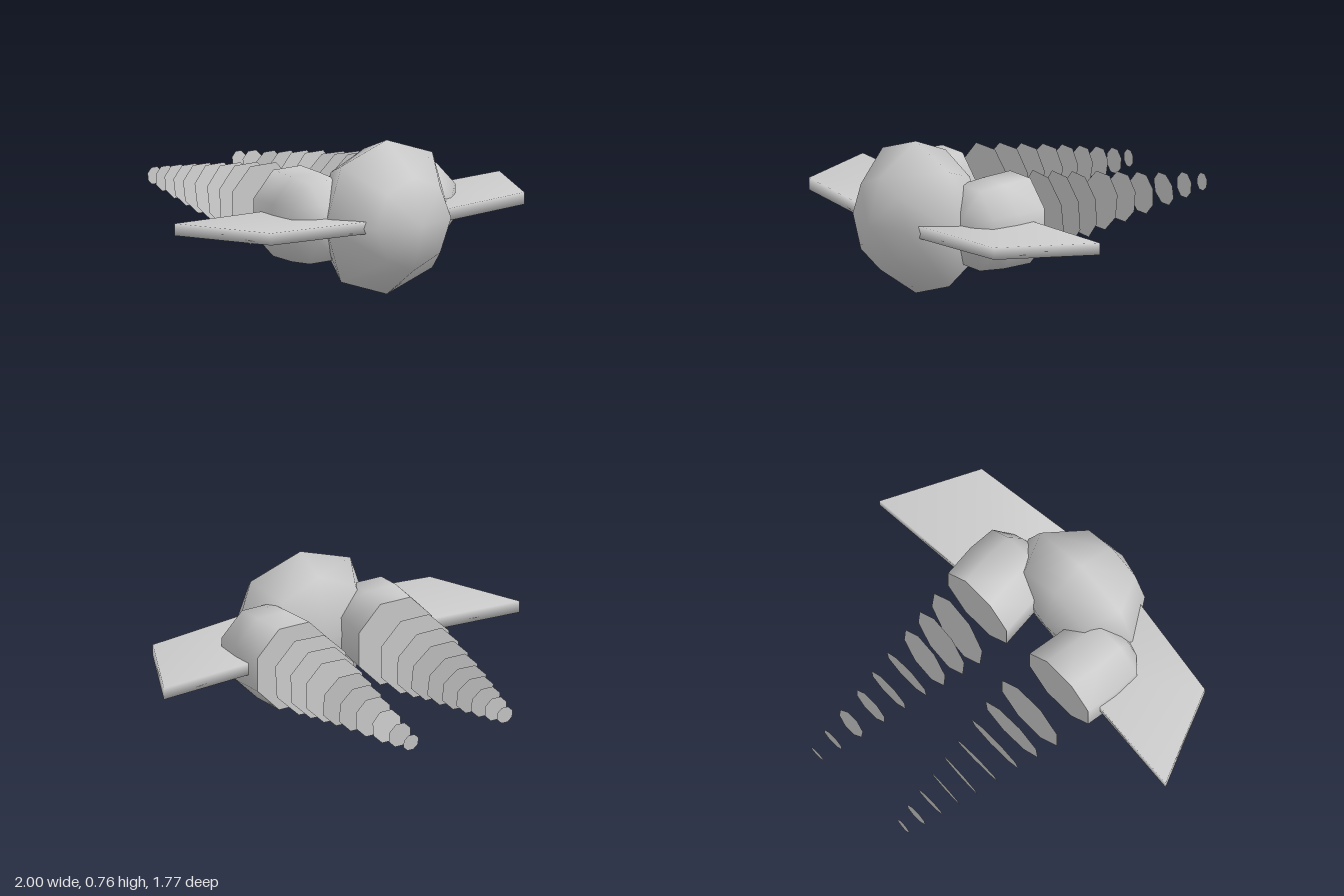
import * as THREE from 'three';
import { mergeVertices } from 'three/addons/utils/BufferGeometryUtils.js';

const grey = new THREE.MeshStandardMaterial({ color: 0xcccccc, side: THREE.DoubleSide });
const MID = 0.385; // height of the centre line
const SIDES = 8;

function mesh(name, geometry) {
  const m = new THREE.Mesh(geometry, grey);
  m.name = name;
  return m;
}

// Skins a list of rings (each the same number of points), front to back
function skin(rings, capped = false) {
  const n = rings[0].length;
  const index = [];
  for (let i = 0; i < rings.length - 1; i++) {
    for (let j = 0; j < n; j++) {
      const a = i * n + j, b = i * n + ((j + 1) % n);
      index.push(a, a + n, b, b, a + n, b + n);
    }
  }
  if (capped) {
    const last = (rings.length - 1) * n;
    for (let j = 1; j < n - 1; j++) {
      index.push(0, j, j + 1, last, last + j + 1, last + j);
    }
  }
  let g = new THREE.BufferGeometry();
  g.setAttribute('position', new THREE.Float32BufferAttribute(rings.flat(2), 3));
  g.setIndex(index);
  g = mergeVertices(g);
  g.computeVertexNormals();
  return g;
}

// Eight-sided ring; diag widens the points that lie between the axes
function ring(z, cx, rx, ry, phase = 0, diag = 1) {
  return Array.from({ length: SIDES }, (_, j) => {
    const a = (j / SIDES) * Math.PI * 2 + phase;
    const k = j % 2 ? diag : 1;
    return [cx + Math.cos(a) * rx * k, MID + Math.sin(a) * ry * k, z];
  });
}

function createBody() {
  return mesh('body', skin([
    ring(0.885, 0, 0, 0),
    ring(0.815, 0, 0.23, 0.23),
    ring(0.605, 0, 0.375, 0.38, 0, 1.06),
    ring(0.43, 0, 0.29, 0.31),
    ring(0.365, 0, 0, 0),
  ]));
}

function createEngine() {
  const engine = new THREE.Group();
  engine.name = 'engine';
  const p = Math.PI / SIDES;
  engine.add(mesh('engineShell', skin([
    ring(0.605, 0.35, 0, 0, p),
    ring(0.57, 0.335, 0.1, 0.1, p),
    ring(0.5, 0.31, 0.212, 0.215, p),
    ring(0.36, 0.305, 0.222, 0.227, p),
    ring(0.19, 0.285, 0.222, 0.23, p),
  ])));
  const cap = mesh('engineBack', new THREE.CircleGeometry(1, SIDES, p));
  cap.scale.set(0.222, 0.23, 1);
  cap.rotation.y = Math.PI;
  cap.position.set(0.285, MID, 0.19);
  engine.add(cap);
  return engine;
}

// Swept wing slab, given by its corners in plan
function createWing() {
  const plan = [[0.25, 0.28], [0.25, 0.765], [0.78, 0.69], [1, 0.22]];
  const layer = (y) => plan.map(([x, z]) => [x, y, z]);
  return mesh('wing', skin([layer(0.42), layer(0.36)], true));
}

// Trail of shrinking, slightly tilted discs: [z, slope in y, slope in x]
function createTrail(name, x, r0, r1, discs) {
  const trail = new THREE.Group();
  trail.name = name;
  const geometry = new THREE.CircleGeometry(1, SIDES, Math.PI / SIDES);
  discs.forEach(([z, slopeY, slopeX], i) => {
    const disc = mesh('exhaustDisc', geometry);
    disc.scale.setScalar(THREE.MathUtils.lerp(r0, r1, i / (discs.length - 1)) * 1.06);
    disc.rotation.set(Math.atan(slopeY), -Math.atan(slopeX), 0);
    disc.position.set(x, MID + 0.005, z);
    trail.add(disc);
  });
  return trail;
}

export function createModel() {
  const model = new THREE.Group();
  model.name = 'spacecraft';
  model.add(createBody());

  // Engine and wing, mirrored to both sides
  for (const side of [1, -1]) {
    const half = new THREE.Group();
    half.name = side > 0 ? 'leftSide' : 'rightSide';
    half.add(createEngine(), createWing());
    half.scale.x = side;
    model.add(half);
  }

  // The two trails are staggered
  model.add(createTrail('leftExhaust', 0.275, 0.193, 0.042, [
    [0.045, 0.1, 0.1], [-0.06, 0.07, 0.08], [-0.17, 0.07, 0.08],
    [-0.29, -0.1, 0], [-0.41, -0.08, 0], [-0.53, 0, 0],
    [-0.66, 0.12, 0], [-0.78, -0.05, 0], [-0.885, -0.1, 0],
  ]));
  model.add(createTrail('rightExhaust', -0.28, 0.196, 0.042, [
    [0, 0, 0], [-0.12, -0.08, -0.02], [-0.23, -0.16, 0],
    [-0.35, -0.19, 0], [-0.46, -0.18, 0.05], [-0.56, -0.18, 0.05],
    [-0.66, -0.15, 0], [-0.755, -0.06, 0], [-0.84, -0.05, 0.05],
  ]));
  return model;
}
